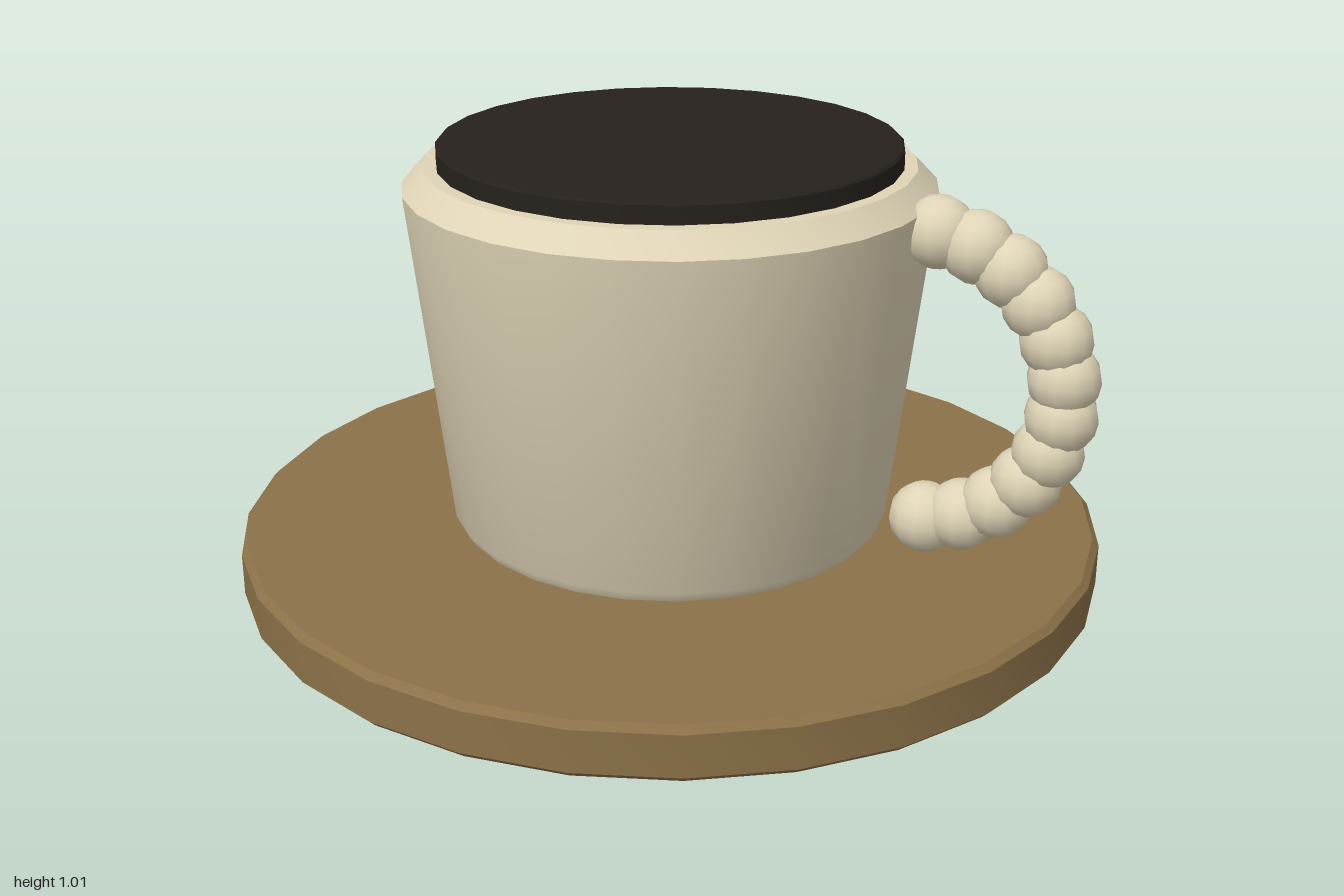
import * as THREE from 'three';
import { toCreasedNormals } from 'three/addons/utils/BufferGeometryUtils.js';

const cream = new THREE.MeshStandardMaterial({ color: 0xdfd4b6 });
const wood = new THREE.MeshStandardMaterial({ color: 0x8b7148 });
const dark = new THREE.MeshStandardMaterial({ color: 0x26211c });

// Solid turned from [radius, height] pairs listed bottom to top
function turned(name, profile, material) {
  const points = profile.map(([r, y]) => new THREE.Vector2(r, y));
  const geometry = toCreasedNormals(new THREE.LatheGeometry(points, 28), 0.6);
  const mesh = new THREE.Mesh(geometry, material);
  mesh.name = name;
  return mesh;
}

export function createModel() {
  const model = new THREE.Group();
  model.name = 'cupAndSaucer';

  // Thick disc with a narrow bevel on both rims
  model.add(turned('saucer', [
    [0, 0], [0.985, 0], [1, 0.015], [1, 0.11], [0.985, 0.125], [0, 0.125],
  ], wood));

  // Tapered cup with a chamfered shoulder
  model.add(turned('cup', [
    [0, 0.125], [0.495, 0.125], [0.51, 0.15], [0.598, 0.92], [0.55, 0.97], [0, 0.97],
  ], cream));

  // Drink disc standing slightly above the rim
  model.add(turned('drink', [
    [0, 0.965], [0.52, 0.965], [0.52, 1.01], [0.515, 1.015], [0, 1.015],
  ], dark));

  // Handle: a half ring of overlapping beads
  const handle = new THREE.Group();
  handle.name = 'handle';
  const beadGeometry = new THREE.SphereGeometry(0.08, 12, 8);
  for (let i = 0; i < 12; i++) {
    const angle = THREE.MathUtils.degToRad(-82.5 + 15 * i);
    const bead = new THREE.Mesh(beadGeometry, cream);
    bead.name = 'handleBead';
    bead.position.set(0.58 + 0.335 * Math.cos(angle), 0.545 + 0.335 * Math.sin(angle), 0);
    handle.add(bead);
  }
  model.add(handle);

  return model;
}
